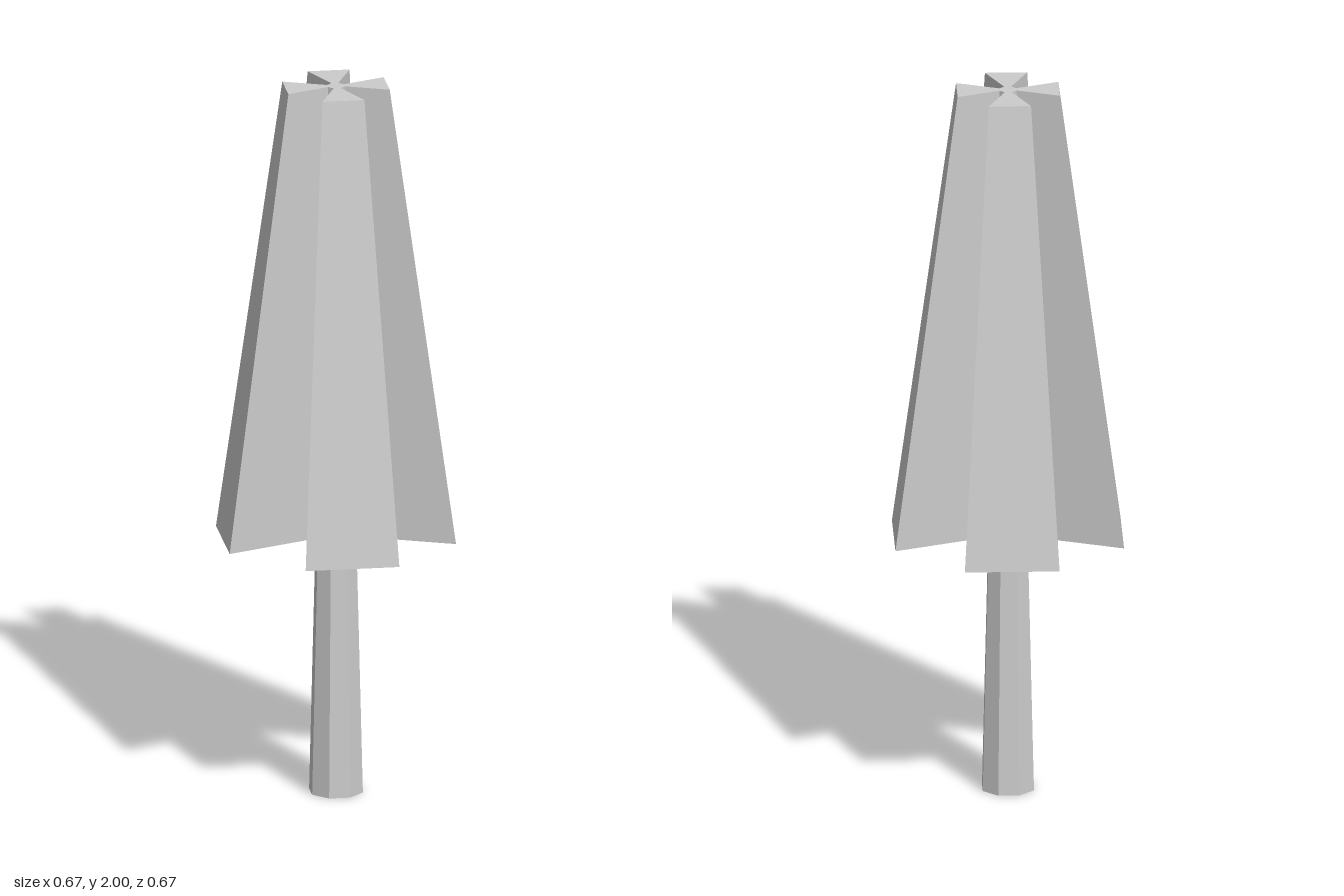
import * as THREE from 'three';

const HEIGHT = 2, BLADE_BOTTOM = 0.725;
const POLE_BOTTOM = 0.075, POLE_TOP = 0.025;
const poleRadius = (y) => THREE.MathUtils.lerp(POLE_BOTTOM, POLE_TOP, y / HEIGHT);

// Tapered wedge over one eighth of a turn, joined to one facet of the pole
function wedgeGeometry() {
  const step = Math.PI / 4;
  const corners = [];
  for (const [y, outer] of [[BLADE_BOTTOM, 0.335], [HEIGHT, 0.15]]) {
    const inner = poleRadius(y);
    for (const [r, a] of [[inner, 0], [outer, 0], [outer, step], [inner, step]]) {
      corners.push([r * Math.cos(a), y, r * Math.sin(a)]);
    }
  }
  const quads = [[0, 1, 2, 3], [7, 6, 5, 4]]; // underside, top
  for (let i = 0; i < 3; i++) quads.push([i + 1, i, i + 4, i + 5]); // side, outer, side
  const positions = quads.flatMap(([a, b, c, d]) =>
    [a, b, c, a, c, d].flatMap((k) => corners[k]));
  const geometry = new THREE.BufferGeometry();
  geometry.setAttribute('position', new THREE.Float32BufferAttribute(positions, 3));
  geometry.computeVertexNormals();
  return geometry;
}

export function createModel() {
  const model = new THREE.Group();
  model.name = 'foldedParasol';
  const material = new THREE.MeshStandardMaterial({
    color: 0xcccccc, flatShading: true, side: THREE.DoubleSide,
  });

  // Eight-sided tapering pole, open at the foot
  const pole = new THREE.Mesh(
    new THREE.CylinderGeometry(POLE_TOP, POLE_BOTTOM, HEIGHT, 8, 1, true), material);
  pole.name = 'pole';
  pole.position.y = HEIGHT / 2;
  model.add(pole);

  // Flat end of the pole
  const cap = new THREE.Mesh(new THREE.CircleGeometry(POLE_TOP, 8), material);
  cap.name = 'poleCap';
  cap.rotation.x = -Math.PI / 2;
  cap.position.y = HEIGHT;
  model.add(cap);

  // Four folds on every other facet
  const folds = new THREE.Group();
  folds.name = 'canopyFolds';
  const geometry = wedgeGeometry();
  for (let i = 0; i < 4; i++) {
    const fold = new THREE.Mesh(geometry, material);
    fold.name = `canopyFold${i + 1}`;
    fold.rotation.y = (i * Math.PI) / 2;
    folds.add(fold);
  }
  model.add(folds);
  return model;
}
